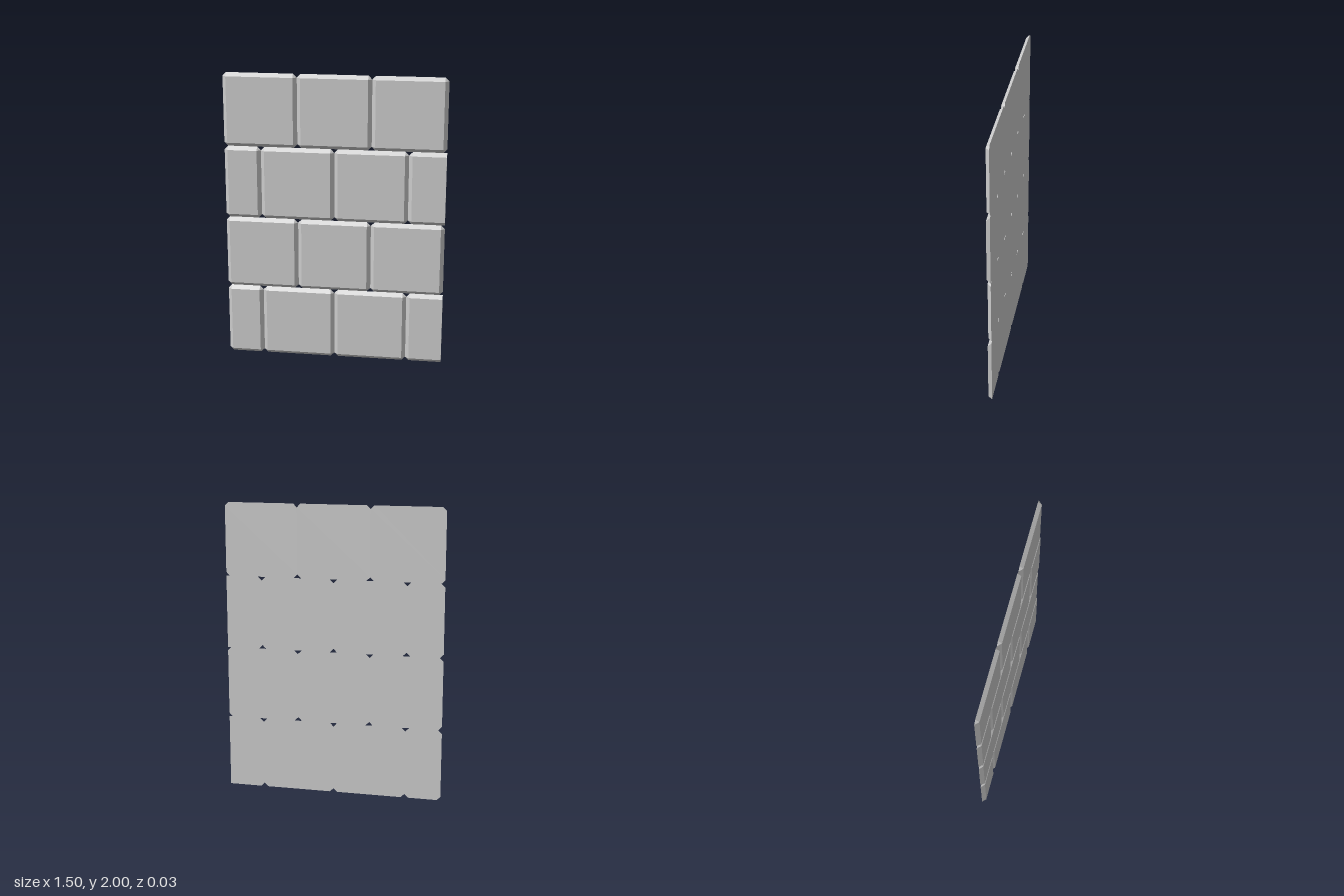
import * as THREE from 'three';

const SIZE = 0.5;      // tile pitch
const BEVEL = 0.025;   // width of the bevelled border
const Z = 0.0125;      // half thickness
const material = new THREE.MeshStandardMaterial({ color: 0xcccccc, flatShading: true });

// Flat-backed tile: clipped-corner back, smaller rectangular front, sloped sides.
// A tile cut off at its right end has a straight vertical end there.
function tileGeometry(x0, x1, y0, y1, cutRight) {
  const b = BEVEL, r = cutRight ? 0 : b;
  // corners counter-clockwise: x, y, inward x, inward y
  const corners = [[x0, y0, b, b], [x1, y0, -r, b], [x1, y1, -r, -b], [x0, y1, b, -b]];
  const front = corners.map(([x, y, dx, dy]) => [x + dx, y + dy, Z]);
  const back = corners.map(([x, y, dx, dy], i) => {
    if (dx === 0) return [[x, y, -Z], [x, y, -Z]];
    const pair = [[x, y + dy, -Z], [x + dx, y, -Z]]; // arriving and leaving points
    return i % 2 ? pair.reverse() : pair;
  });
  const position = [];
  const tri = (a, c, d) => position.push(...a, ...c, ...d);
  const quad = (a, c, d, e) => { tri(a, c, d); tri(a, d, e); };

  quad(...front);
  const outline = back.flat();
  for (let i = 1; i < outline.length - 1; i++) tri(outline[0], outline[i + 1], outline[i]);
  for (let i = 0; i < 4; i++) {
    const n = (i + 1) % 4;
    quad(back[i][1], back[n][0], front[n], front[i]);                 // sloped side
    if (corners[i][2] !== 0) tri(back[i][0], back[i][1], front[i]);   // corner facet
  }
  const geometry = new THREE.BufferGeometry();
  geometry.setAttribute('position', new THREE.Float32BufferAttribute(position, 3));
  geometry.computeVertexNormals();
  return geometry;
}

export function createModel() {
  const group = new THREE.Group();
  group.name = 'tileWall';
  // running bond: rows with half tiles at the ends alternate with rows of whole tiles
  const halfRow = [-0.75, -0.5, 0, 0.5, 0.75];
  const wholeRow = [-0.75, -0.25, 0.25, 0.75];
  for (let row = 0; row < 4; row++) {
    const halves = row % 2 === 0;
    const joints = halves ? halfRow : wholeRow;
    const rowGroup = new THREE.Group();
    rowGroup.name = `tileRow${row + 1}`;
    for (let i = 0; i < joints.length - 1; i++) {
      const cut = halves && i === joints.length - 2;
      const tile = new THREE.Mesh(
        tileGeometry(joints[i], joints[i + 1], row * SIZE, (row + 1) * SIZE, cut), material);
      tile.name = joints[i + 1] - joints[i] < SIZE ? 'halfTile' : 'wholeTile';
      rowGroup.add(tile);
    }
    group.add(rowGroup);
  }
  return group;
}
